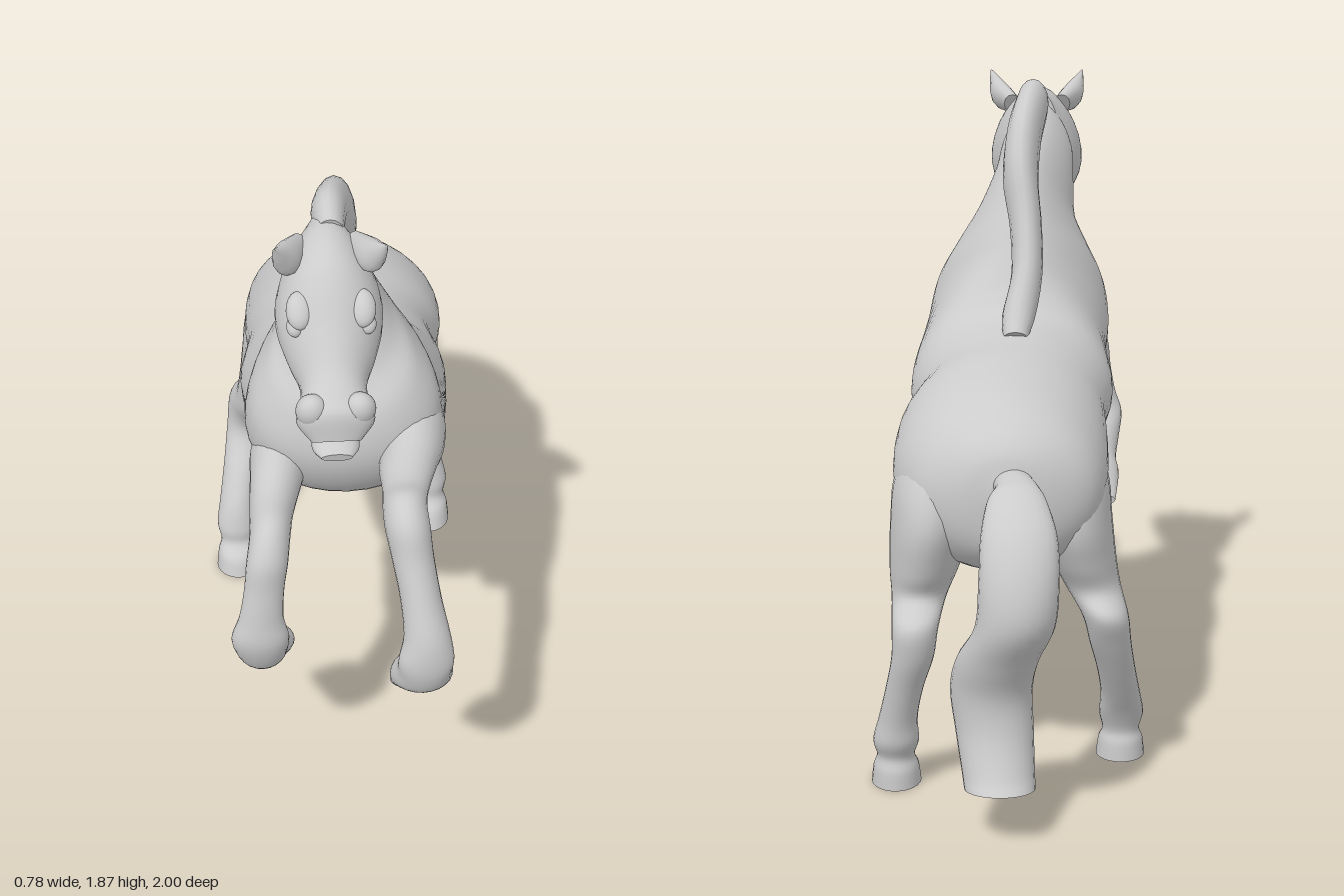
import * as THREE from 'three';

const material = new THREE.MeshStandardMaterial({ color: 0xcccccc, side: THREE.DoubleSide });

// Smooth skin through cross-sections. Each section is [zA, yA, zB, yB, x, w]:
// two opposite outline points in the side plane, the sideways centre and half-width.
// taper(t) narrows the A edge and widens the B edge.
function loft(name, sections, { sides = 24, taper = () => 0, steps = 5 } = {}) {
  const curve = (f) => new THREE.CatmullRomCurve3(sections.map(f), false, 'catmullrom', 0.5);
  const a = curve((s) => new THREE.Vector3(s[4], s[1], s[0]));
  const b = curve((s) => new THREE.Vector3(s[5], s[3], s[2]));
  const rows = (sections.length - 1) * steps;
  const pos = [], index = [];
  for (let i = 0; i <= rows; i++) {
    const t = i / rows, p = a.getPoint(t), q = b.getPoint(t), k = taper(t);
    for (let j = 0; j < sides; j++) {
      const th = (j / sides) * Math.PI * 2, c = Math.cos(th), m = (1 + c) / 2;
      pos.push(p.x + q.x * Math.sin(th) * (1 - k * c), q.y + (p.y - q.y) * m, q.z + (p.z - q.z) * m);
      if (i < rows) {
        const n = (j + 1) % sides, u = i * sides;
        index.push(u + j, u + n, u + sides + j, u + n, u + sides + n, u + sides + j);
      }
    }
  }
  // Flat caps with their own corners, so that the rims stay crisp
  for (const row of [0, rows]) {
    const start = pos.length / 3, mid = [0, 0, 0];
    for (let j = 0; j < sides; j++) {
      for (let d = 0; d < 3; d++) {
        const v = pos[(row * sides + j) * 3 + d];
        pos.push(v);
        mid[d] += v / sides;
      }
    }
    pos.push(...mid);
    for (let j = 0; j < sides; j++) {
      const n = start + ((j + 1) % sides);
      if (row) index.push(start + j, n, start + sides);
      else index.push(n, start + j, start + sides);
    }
  }
  // Turn the faces outward when the enclosed volume comes out negative
  const v = (i) => new THREE.Vector3().fromArray(pos, i * 3);
  let volume = 0;
  for (let i = 0; i < index.length; i += 3) volume += v(index[i]).dot(v(index[i + 1]).cross(v(index[i + 2])));
  if (volume < 0) index.reverse();
  const g = new THREE.BufferGeometry();
  g.setAttribute('position', new THREE.Float32BufferAttribute(pos, 3));
  g.setIndex(index);
  g.computeVertexNormals();
  const mesh = new THREE.Mesh(g, material);
  mesh.name = name;
  return mesh;
}

function ellipsoid(name, [x, y, z], [rx, ry, rz], tilt) {
  const mesh = new THREE.Mesh(new THREE.SphereGeometry(1, 20, 14), material);
  mesh.name = name;
  mesh.position.set(x, y, z);
  mesh.scale.set(rx, ry, rz);
  mesh.rotation.x = tilt;
  return mesh;
}

export function createModel() {
  const horse = new THREE.Group();
  horse.name = 'rearingHorse';

  // Rump, barrel, chest and neck in one sweep
  horse.add(loft('bodyAndNeck', [
    [-0.695, 0.95, -0.70, 0.86, 0.01, 0.04],
    [-0.675, 1.01, -0.68, 0.75, 0.01, 0.13],
    [-0.63, 1.06, -0.64, 0.69, 0.01, 0.21],
    [-0.56, 1.105, -0.58, 0.65, 0.015, 0.262],
    [-0.45, 1.145, -0.46, 0.63, 0.025, 0.295],
    [-0.30, 1.18, -0.28, 0.69, 0.02, 0.295],
    [-0.15, 1.20, -0.17, 0.76, 0.0, 0.272],
    [0.0, 1.23, 0.02, 0.77, -0.005, 0.295],
    [0.06, 1.28, 0.22, 0.80, -0.005, 0.29],
    [0.10, 1.34, 0.38, 0.87, -0.01, 0.275],
    [0.13, 1.40, 0.50, 0.97, -0.025, 0.265],
    [0.16, 1.46, 0.56, 1.10, -0.03, 0.245],
    [0.19, 1.52, 0.545, 1.235, -0.035, 0.195],
    [0.24, 1.61, 0.475, 1.34, -0.045, 0.145],
    [0.32, 1.72, 0.445, 1.47, -0.07, 0.115],
    [0.42, 1.80, 0.45, 1.55, -0.08, 0.10],
    [0.50, 1.80, 0.50, 1.62, -0.08, 0.05],
  ], { sides: 40, taper: (t) => 0.3 * THREE.MathUtils.smoothstep(t, 0.45, 0.65) }));

  // Head from poll to lips: deep cheeks, then a muzzle broad across the nostrils
  horse.add(loft('head', [
    [0.42, 1.83, 0.42, 1.64, -0.08, 0.06],
    [0.50, 1.835, 0.45, 1.53, -0.08, 0.11],
    [0.59, 1.805, 0.50, 1.48, -0.08, 0.136],
    [0.645, 1.75, 0.57, 1.465, -0.08, 0.134],
    [0.70, 1.67, 0.64, 1.45, -0.08, 0.112],
    [0.76, 1.59, 0.69, 1.42, -0.08, 0.086],
    [0.815, 1.54, 0.72, 1.385, -0.08, 0.088],
    [0.85, 1.505, 0.755, 1.38, -0.08, 0.095],
    [0.858, 1.43, 0.80, 1.385, -0.08, 0.06],
  ], { sides: 28, taper: (t) => 0.12 - 0.42 * THREE.MathUtils.smoothstep(t, 0.5, 0.85) }));
  horse.add(loft('lowerLip', [
    [0.73, 1.43, 0.70, 1.385, -0.08, 0.045],
    [0.77, 1.42, 0.745, 1.345, -0.08, 0.058],
    [0.82, 1.40, 0.80, 1.34, -0.08, 0.06],
    [0.855, 1.385, 0.85, 1.36, -0.08, 0.04],
  ], { sides: 16 }));

  // Paired head details on both sides of the offset head
  for (const [side, s] of [['left', 1], ['right', -1]]) {
    const x = (d) => -0.08 + s * d;
    horse.add(loft(side + 'Ear', [
      [0.48, 1.81, 0.52, 1.75, x(0.075), 0.025],
      [0.545, 1.835, 0.59, 1.755, x(0.105), 0.034],
      [0.60, 1.853, 0.62, 1.805, x(0.125), 0.019],
      [0.635, 1.868, 0.636, 1.863, x(0.14), 0.003],
    ], { sides: 12 }));
    horse.add(ellipsoid(side + 'Brow', [x(0.08), 1.688, 0.648], [0.034, 0.026, 0.05], 0.85));
    horse.add(ellipsoid(side + 'Eye', [x(0.092), 1.65, 0.662], [0.022, 0.02, 0.028], 0.85));
    horse.add(ellipsoid(side + 'Nostril', [x(0.06), 1.495, 0.81], [0.042, 0.05, 0.038], 0.3));
  }

  // Crest of mane waving down to the withers
  horse.add(loft('mane', [
    [0.48, 1.845, 0.46, 1.76, -0.07, 0.035],
    [0.36, 1.868, 0.38, 1.72, -0.065, 0.048],
    [0.20, 1.80, 0.29, 1.63, -0.04, 0.052],
    [0.10, 1.68, 0.22, 1.52, -0.03, 0.052],
    [0.035, 1.53, 0.16, 1.42, -0.045, 0.047],
    [-0.03, 1.40, 0.08, 1.30, -0.048, 0.045],
    [-0.10, 1.28, -0.01, 1.21, -0.025, 0.048],
    [-0.145, 1.215, -0.10, 1.17, -0.015, 0.035],
  ], { sides: 16 }));

  // Arched tail with a cut end
  horse.add(loft('tail', [
    [-0.58, 0.98, -0.58, 0.87, 0.0, 0.05],
    [-0.68, 0.97, -0.68, 0.88, -0.01, 0.055],
    [-0.75, 0.965, -0.735, 0.90, -0.02, 0.058],
    [-0.82, 0.945, -0.78, 0.875, -0.02, 0.08],
    [-0.92, 0.86, -0.81, 0.82, -0.025, 0.10],
    [-0.985, 0.74, -0.825, 0.73, -0.025, 0.105],
    [-1.0, 0.62, -0.81, 0.60, -0.015, 0.105],
    [-0.945, 0.50, -0.745, 0.50, 0.03, 0.11],
    [-0.905, 0.40, -0.705, 0.40, 0.048, 0.11],
    [-0.91, 0.30, -0.715, 0.28, 0.04, 0.105],
    [-0.95, 0.20, -0.755, 0.18, 0.03, 0.098],
    [-0.98, 0.16, -0.785, 0.13, 0.025, 0.095],
  ]));

  // Hind legs, planted, the left one further back
  horse.add(loft('leftHindLeg', [
    [-0.30, 1.02, -0.54, 1.03, 0.16, 0.08],
    [-0.25, 0.88, -0.63, 0.90, 0.20, 0.115],
    [-0.25, 0.75, -0.665, 0.78, 0.215, 0.115],
    [-0.32, 0.63, -0.635, 0.65, 0.235, 0.098],
    [-0.43, 0.545, -0.61, 0.575, 0.25, 0.076],
    [-0.545, 0.485, -0.69, 0.52, 0.258, 0.064],
    [-0.568, 0.41, -0.685, 0.43, 0.265, 0.058],
    [-0.535, 0.31, -0.645, 0.32, 0.29, 0.052],
    [-0.498, 0.22, -0.61, 0.21, 0.31, 0.054],
    [-0.475, 0.14, -0.598, 0.14, 0.318, 0.064],
    [-0.468, 0.09, -0.575, 0.09, 0.32, 0.053],
    [-0.435, 0.055, -0.583, 0.05, 0.32, 0.064],
    [-0.41, 0.0, -0.585, 0.0, 0.32, 0.07],
  ]));
  horse.add(loft('rightHindLeg', [
    [-0.28, 1.02, -0.52, 1.03, -0.13, 0.08],
    [-0.22, 0.88, -0.60, 0.90, -0.16, 0.11],
    [-0.21, 0.75, -0.63, 0.77, -0.175, 0.11],
    [-0.27, 0.66, -0.60, 0.66, -0.20, 0.095],
    [-0.34, 0.57, -0.57, 0.58, -0.23, 0.078],
    [-0.43, 0.485, -0.615, 0.52, -0.265, 0.064],
    [-0.445, 0.41, -0.575, 0.43, -0.28, 0.058],
    [-0.375, 0.31, -0.51, 0.32, -0.30, 0.054],
    [-0.32, 0.22, -0.445, 0.22, -0.315, 0.056],
    [-0.295, 0.14, -0.398, 0.15, -0.32, 0.063],
    [-0.29, 0.09, -0.37, 0.09, -0.32, 0.053],
    [-0.25, 0.055, -0.377, 0.05, -0.32, 0.064],
    [-0.23, 0.0, -0.38, 0.0, -0.32, 0.07],
  ]));

  // Raised forelegs, folded at knee and fetlock
  horse.add(loft('leftForeleg', [
    [0.28, 1.25, 0.14, 1.02, 0.11, 0.08],
    [0.42, 1.225, 0.30, 0.97, 0.15, 0.1],
    [0.53, 1.195, 0.44, 0.985, 0.15, 0.09],
    [0.62, 1.175, 0.55, 1.03, 0.13, 0.078],
    [0.71, 1.17, 0.66, 1.06, 0.115, 0.063],
    [0.80, 1.19, 0.72, 1.06, 0.105, 0.059],
    [0.872, 1.14, 0.755, 1.045, 0.108, 0.06],
    [0.905, 1.04, 0.785, 0.99, 0.12, 0.056],
    [0.95, 0.93, 0.83, 0.90, 0.138, 0.055],
    [0.99, 0.83, 0.88, 0.82, 0.152, 0.062],
    [1.0, 0.74, 0.912, 0.78, 0.15, 0.074],
    [0.985, 0.67, 0.89, 0.735, 0.148, 0.074],
    [0.955, 0.625, 0.845, 0.685, 0.145, 0.085],
    [0.885, 0.57, 0.852, 0.62, 0.145, 0.082],
  ]));
  horse.add(loft('rightForeleg', [
    [0.31, 1.17, 0.20, 0.92, -0.15, 0.08],
    [0.42, 1.15, 0.36, 0.92, -0.20, 0.085],
    [0.53, 1.125, 0.49, 0.95, -0.22, 0.074],
    [0.64, 1.09, 0.62, 0.95, -0.24, 0.06],
    [0.76, 1.08, 0.69, 0.95, -0.25, 0.055],
    [0.825, 1.0, 0.735, 0.92, -0.262, 0.056],
    [0.838, 0.90, 0.755, 0.87, -0.272, 0.054],
    [0.85, 0.80, 0.77, 0.80, -0.282, 0.06],
    [0.855, 0.71, 0.765, 0.745, -0.286, 0.078],
    [0.815, 0.61, 0.72, 0.70, -0.282, 0.072],
    [0.745, 0.555, 0.665, 0.645, -0.275, 0.068],
    [0.68, 0.515, 0.62, 0.605, -0.268, 0.082],
    [0.58, 0.47, 0.575, 0.515, -0.265, 0.072],
  ]));
  return horse;
}
